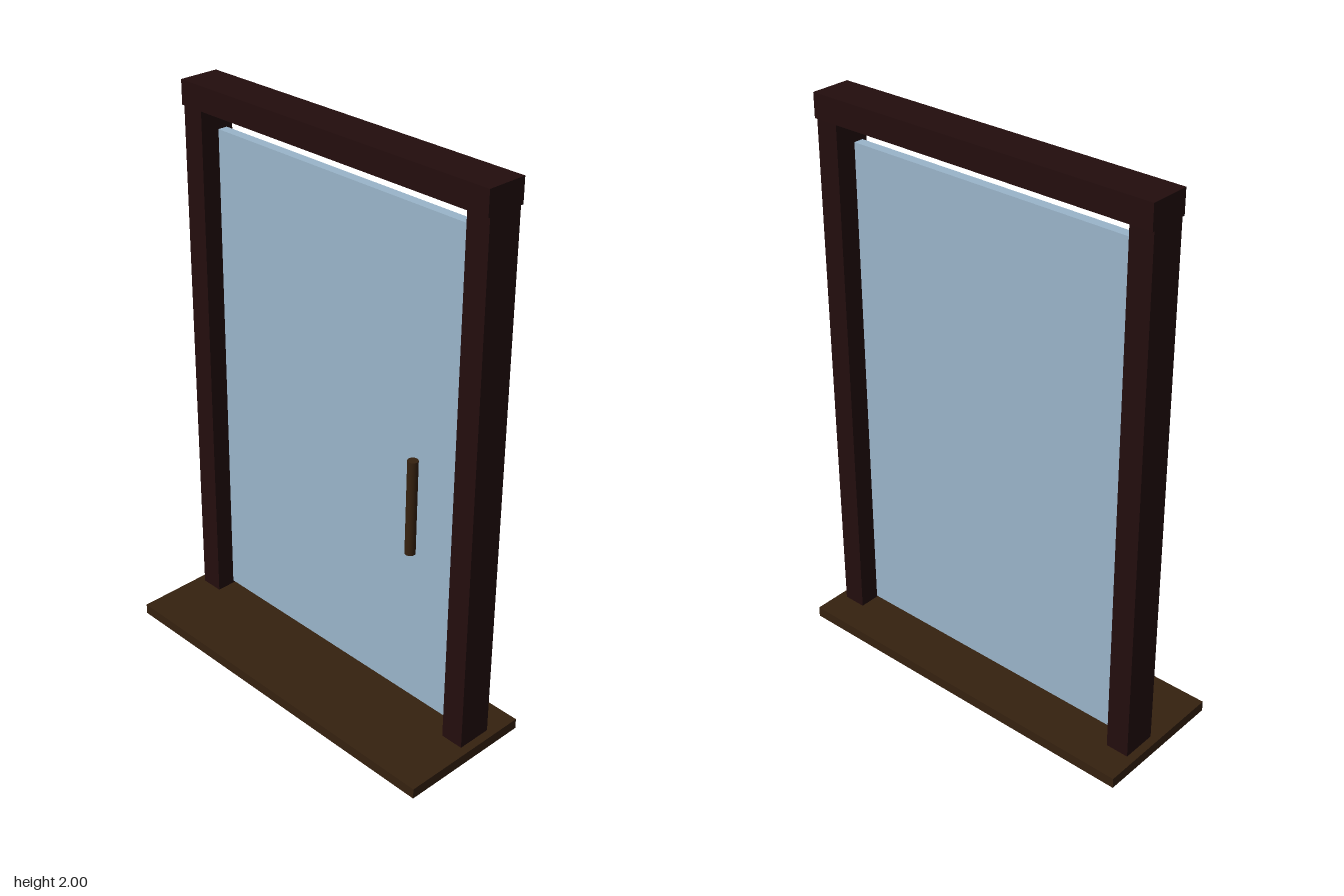
import * as THREE from 'three';

export function createModel() {
  const model = new THREE.Group();
  const frameWood = new THREE.MeshStandardMaterial({ color: 0x230d0d });
  frameWood.name = 'dark frame wood';
  const brownWood = new THREE.MeshStandardMaterial({ color: 0x35210f });
  brownWood.name = 'brown wood';
  const glass = new THREE.MeshStandardMaterial({ color: 0x9ab5ca });
  glass.name = 'pale blue glass';

  // Box given by its lower and upper corners
  function box(name, material, [x0, y0, z0], [x1, y1, z1]) {
    const mesh = new THREE.Mesh(new THREE.BoxGeometry(x1 - x0, y1 - y0, z1 - z0), material);
    mesh.position.set((x0 + x1) / 2, (y0 + y1) / 2, (z0 + z1) / 2);
    mesh.name = name;
    model.add(mesh);
    return mesh;
  }

  // Doorstep slab
  box('threshold', brownWood, [-0.687, 0, -0.25], [0.687, 0.038, 0.25]);

  // Frame: two posts under a slightly deeper lintel
  box('leftPost', frameWood, [0.573, 0.02, -0.137], [0.657, 1.92, -0.008]);
  box('rightPost', frameWood, [-0.657, 0.02, -0.137], [-0.573, 1.92, -0.008]);
  box('lintel', frameWood, [-0.658, 1.915, -0.146], [0.658, 2, 0]);

  // Glass door panel in the middle of the frame's depth
  box('glassPanel', glass, [-0.545, 0.073, -0.09], [0.543, 1.848, -0.055]);

  // Upright round pull bar
  const handle = new THREE.Mesh(new THREE.CylinderGeometry(0.018, 0.018, 0.345, 24), brownWood);
  handle.position.set(0.402, 0.86, -0.006);
  handle.name = 'handle';
  model.add(handle);

  return model;
}
